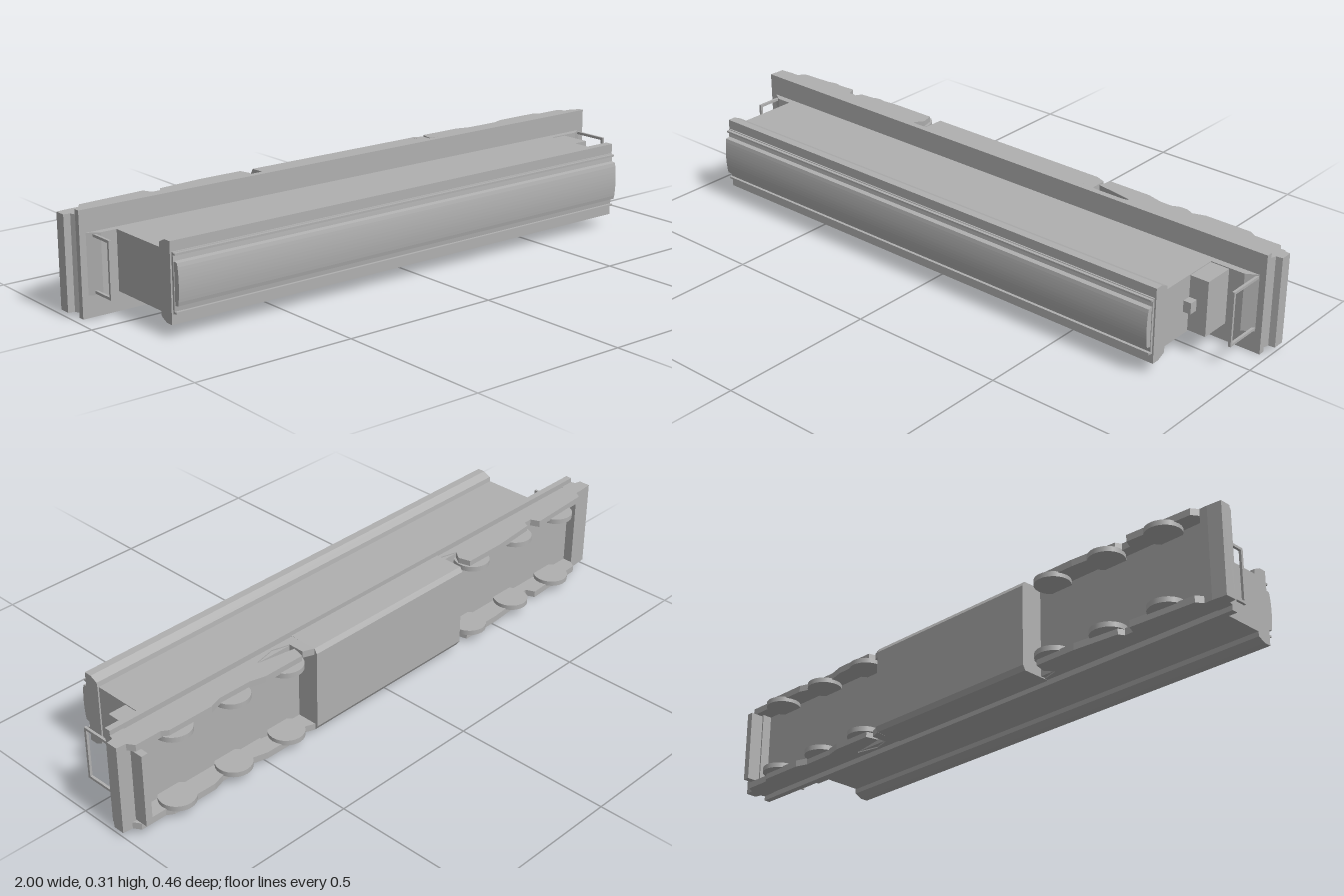
import * as THREE from 'three';

const grey = new THREE.MeshStandardMaterial({ color: 0xb0b0b0 });
grey.name = 'plain grey';
const MID = 0.1565; // centre line of the width

export function createModel() {
  const model = new THREE.Group();
  const add = (name, geo) => {
    const mesh = new THREE.Mesh(geo, grey);
    mesh.name = name;
    model.add(mesh);
    return mesh;
  };
  const box = (name, x0, x1, y0, y1, z0, z1) => {
    const g = new THREE.BoxGeometry(x1 - x0, y1 - y0, z1 - z0);
    g.translate((x0 + x1) / 2, (y0 + y1) / 2, (z0 + z1) / 2);
    return add(name, g);
  };
  const extrude = (pts, depth) => new THREE.ExtrudeGeometry(
    new THREE.Shape(pts.map(p => new THREE.Vector2(p[0], p[1]))),
    { depth, bevelEnabled: false });
  // Mirrored cross-section of [z, half width], swept along x
  const sweepX = (name, half, x0, x1) => {
    const pts = [...half.map(([z, h]) => [-z, MID + h]),
      ...half.slice().reverse().map(([z, h]) => [-z, MID - h])];
    const g = extrude(pts, x1 - x0);
    g.rotateY(Math.PI / 2).translate(x0, 0, 0);
    return add(name, g);
  };
  // Outline of [x, z], swept along y
  const sweepY = (name, outline, y0, y1) => {
    const g = extrude(outline.map(([x, z]) => [x, -z]), y1 - y0);
    g.rotateX(-Math.PI / 2).translate(0, y0, 0);
    return add(name, g);
  };

  // Car body and the narrower end compartment
  box('body', -0.87, 0.81, 0.066, 0.246, -0.09, 0.16);
  box('endCompartment', 0.8, 0.87, 0.07, 0.243, -0.09, 0.033);
  box('endLamp', 0.8, 0.835, 0.14, 0.175, 0.03, 0.06);

  // Roof with wide eaves, gutters and a gently curved crown
  sweepX('eaves', [[0.148, 0.089], [0.15, 0.105], [0.175, 0.117], [0.2, 0.117]], -0.87, 0.815);
  sweepX('roofStep', [[0.199, 0.087], [0.205, 0.087], [0.208, 0.06]], -0.865, 0.81);
  const crown = [[0.2, 0.064], [0.222, 0.06]];
  for (let i = 1; i <= 6; i++) {
    const h = 0.058 * (1 - i / 6.2);
    crown.push([0.228 - 0.005 * (h / 0.058) ** 2, h]);
  }
  sweepX('crown', crown, -0.863, 0.808);
  for (const s of [-1, 1]) {
    const y = MID + s * 0.082;
    box('gutter', -0.865, 0.81, y - 0.003, y + 0.003, 0.2, 0.215);
  }

  // Floor platform and stepped ends
  box('platform', -0.975, 0.975, 0, 0.313, -0.107, -0.087);
  sweepY('endSill', [[-0.96, -0.09], [-0.92, -0.066], [0.92, -0.066], [0.96, -0.09]], 0.066, 0.246);
  sweepX('underframe', [[-0.105, 0.138], [-0.135, 0.138]], -0.96, 0.96);
  sweepX('centreTank', [[-0.105, 0.142], [-0.2, 0.141], [-0.209, 0.126]], -0.315, 0.31);
  for (const s of [-1, 1]) {
    const pts = [[0.93, -0.105], [0.975, -0.105], [0.98, -0.122], [1, -0.125],
      [1, -0.162], [0.955, -0.166], [0.93, -0.166]];
    const outline = pts.map(([x, z]) => [s * x, z]);
    sweepY('bufferBeam', outline, 0.015, 0.298);
  }
  box('endRidge', 0.935, 0.957, 0.04, 0.273, -0.21, -0.15);

  // Bogie side frames, seen as stepped outlines along each side
  const frames = [
    [[-0.97, -0.11], [-0.97, -0.163], [-0.93, -0.165], [-0.915, -0.187], [-0.7, -0.198],
      [-0.688, -0.17], [-0.66, -0.17], [-0.65, -0.188], [-0.5, -0.201], [-0.36, -0.201],
      [-0.35, -0.163], [-0.37, -0.135], [-0.315, -0.12], [-0.315, -0.11]],
    [[0.31, -0.11], [0.31, -0.2], [0.345, -0.187], [0.345, -0.135], [0.4, -0.12],
      [0.47, -0.135], [0.47, -0.14], [0.35, -0.16], [0.36, -0.201], [0.5, -0.201],
      [0.55, -0.188], [0.66, -0.187], [0.7, -0.2], [0.85, -0.2], [0.87, -0.187],
      [0.955, -0.187], [0.97, -0.163], [0.97, -0.11]],
  ];
  for (const outline of frames) {
    sweepY('bogieFrame', outline, 0.277, 0.298);
    sweepY('bogieFrame', outline, 0.015, 0.036);
  }

  // Wheels just inside the frames
  for (const x of [-0.81, -0.605, -0.4, 0.4, 0.605, 0.815]) {
    for (const s of [-1, 1]) {
      const g = new THREE.CylinderGeometry(0.055, 0.055, 0.016, 24);
      g.translate(x, MID + s * 0.116, -0.173);
      add('wheel', g);
    }
  }

  // Thin handrail hoops at both ends
  const rail = (x, top) => {
    for (const y of [0.075, 0.238]) {
      box('handrailPost', x - 0.004, x + 0.004, y - 0.004, y + 0.004, -0.09, top);
    }
    box('handrailBar', x - 0.004, x + 0.004, 0.071, 0.242, top - 0.008, top);
  };
  rail(0.95, 0.035);
  rail(-0.935, 0.005);

  return model;
}
